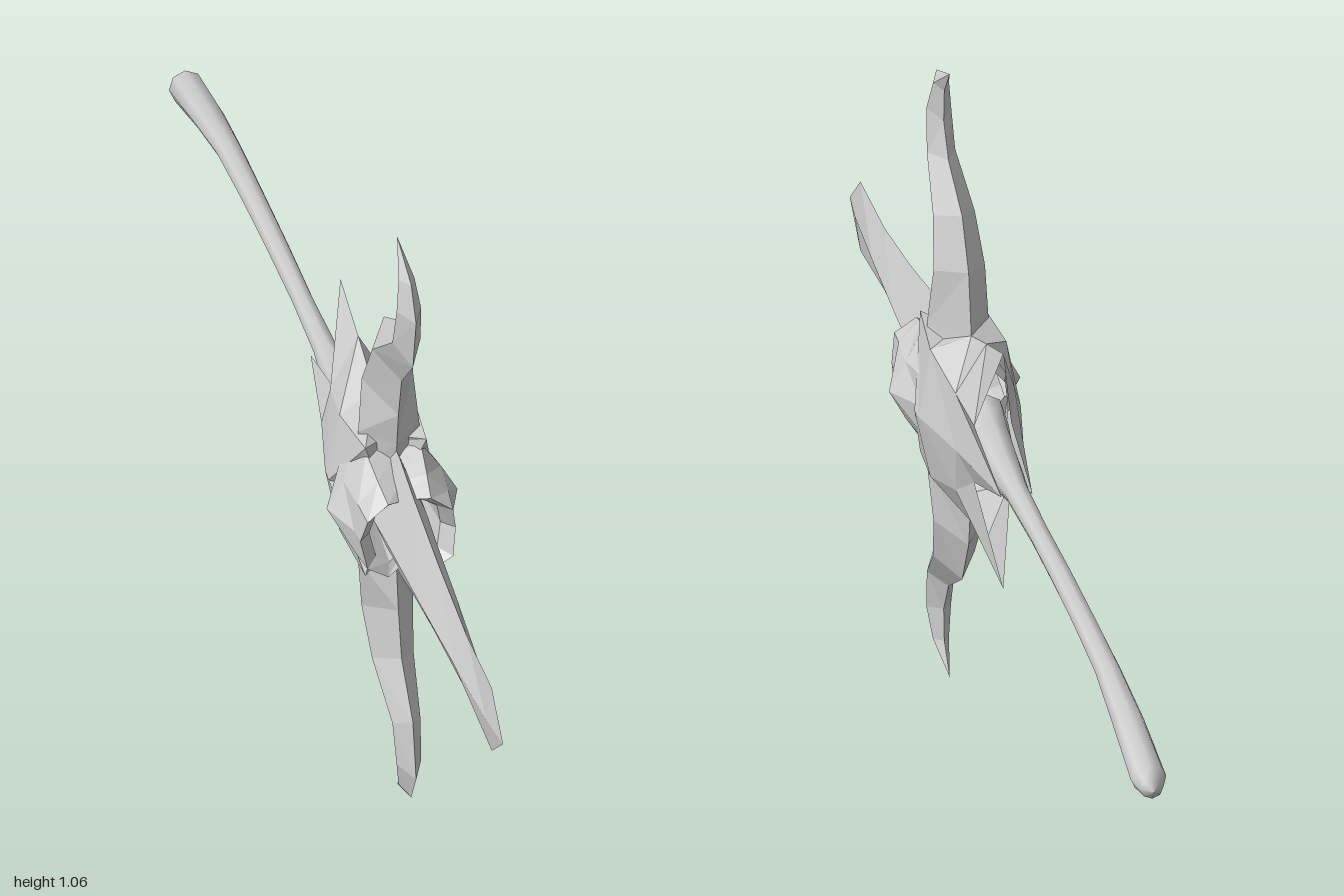
import * as THREE from 'three';

const CENTRE = 0.532; // height of the weapon's long axis
const material = new THREE.MeshStandardMaterial({ color: 0xcccccc, flatShading: true, side: THREE.DoubleSide });
const smooth = new THREE.MeshStandardMaterial({ color: 0xcccccc, side: THREE.DoubleSide });

// Skin closed rings of [x, y, z] points, y measured from the long axis
function loft(name, rings, mat = material) {
  const n = rings[0].length;
  const index = [];
  for (let r = 0; r < rings.length - 1; r++) {
    for (let i = 0; i < n; i++) {
      const a = r * n + i, b = r * n + (i + 1) % n;
      index.push(a, b, b + n, a, b + n, a + n);
    }
  }
  const geometry = new THREE.BufferGeometry();
  geometry.setAttribute('position', new THREE.Float32BufferAttribute(rings.flat(2), 3));
  geometry.setIndex(index);
  geometry.computeVertexNormals();
  const mesh = new THREE.Mesh(geometry, mat);
  mesh.name = name;
  return mesh;
}

// Complete a ring from one quadrant, listed from the side (y = 0) to the top (x = 0)
function mirrorRing(q) {
  const inner = q.slice(1, -1);
  const flip = (p, sx, sy) => [p[0] * sx, p[1] * sy, p[2]];
  return [
    ...q,
    ...inner.slice().reverse().map(p => flip(p, -1, 1)),
    flip(q[0], -1, 1),
    ...inner.map(p => flip(p, -1, -1)),
    flip(q[q.length - 1], 1, -1),
    ...inner.slice().reverse().map(p => flip(p, 1, -1)),
  ];
}

// Long front blade with a diamond section: z, half width, half height
function makeBlade() {
  const sections = [
    [0.28, 0.045, 0.115], [0.36, 0.043, 0.112], [0.44, 0.038, 0.095], [0.6, 0.03, 0.071],
    [0.77, 0.02, 0.055], [0.93, 0.009, 0.061], [1, 0, 0],
  ];
  return loft('frontBlade', sections.map(([z, w, h]) => mirrorRing([[w, 0, z], [0, h, z]])));
}

// Curved side blade: front edge z,y / ridge z,y / back edge z,y / half width
function makeHorn(name) {
  const sections = [
    [0.33, 0.05, 0.28, 0.05, 0.2, 0.05, 0.055],
    [0.34, 0.125, 0.29, 0.125, 0.2, 0.135, 0.05],
    [0.35, 0.19, 0.28, 0.22, 0.218, 0.24, 0.042],
    [0.37, 0.27, 0.315, 0.3, 0.26, 0.32, 0.034],
    [0.44, 0.345, 0.4, 0.37, 0.35, 0.375, 0.023],
    [0.46, 0.443, 0.415, 0.44, 0.382, 0.43, 0.02],
    [0.43, 0.498, 0.4, 0.49, 0.378, 0.485, 0.013],
    [0.342, 0.532, 0.342, 0.532, 0.342, 0.532, 0],
  ];
  return loft(name, sections.map(([fz, fy, rz, ry, bz, by, w]) =>
    [[0, fy, fz], [w, ry, rz], [0, by, bz], [-w, ry, rz]]));
}

// Head shell, swept back into a spike above and below
function makeShell() {
  return loft('headShell', [
    [[0.025, 0, -0.1], [0.03, 0.05, 0.06], [0, 0.207, -0.01]],
    [[0.055, 0, 0.08], [0.048, 0.085, 0.11], [0, 0.172, 0.1]],
    [[0.083, 0, 0.21], [0.062, 0.112, 0.22], [0, 0.138, 0.2]],
    [[0.084, 0, 0.235], [0.05, 0.124, 0.335], [0, 0.11, 0.29]],
    [[0.066, 0, 0.25], [0.042, 0.1, 0.33], [0, 0.09, 0.28]],
  ].map(mirrorRing));
}

// Open collar around the blade root, pinched to a point on each side
function makeCollar() {
  return loft('collar', [
    [[0.06, 0, 0.2], [0.055, 0.05, 0.2], [0.025, 0.085, 0.2], [0, 0.09, 0.2]],
    [[0.07, 0, 0.245], [0.068, 0.05, 0.25], [0.04, 0.1, 0.25], [0, 0.1, 0.25]],
    [[0.107, 0, 0.31], [0.08, 0.05, 0.31], [0.045, 0.105, 0.32], [0, 0.095, 0.32]],
    [[0.08, 0, 0.38], [0.074, 0.05, 0.38], [0.04, 0.085, 0.375], [0, 0.075, 0.37]],
    [[0.078, 0, 0.41], [0.07, 0.045, 0.425], [0.035, 0.07, 0.42], [0, 0.06, 0.4]],
    [[0.058, 0, 0.39], [0.05, 0.04, 0.4], [0.028, 0.055, 0.4], [0, 0.05, 0.38]],
    [[0.05, 0, 0.3], [0.045, 0.03, 0.3], [0.025, 0.045, 0.3], [0, 0.045, 0.3]],
  ].map(mirrorRing));
}

// Bent shaft with a flared butt: z, y, half width, half height
function makeShaft() {
  const sections = [
    [0.14, 0.008, 0.045, 0.06], [0.06, 0.006, 0.033, 0.052], [-0.02, 0.005, 0.028, 0.034],
    [-0.1, 0.005, 0.02, 0.021], [-0.25, 0.002, 0.017, 0.018], [-0.4, -0.002, 0.018, 0.018],
    [-0.55, -0.01, 0.019, 0.018], [-0.7, -0.022, 0.021, 0.018], [-0.83, -0.047, 0.026, 0.02],
    [-0.965, -0.083, 0.029, 0.026], [-0.99, -0.09, 0.018, 0.018], [-1, -0.093, 0, 0],
  ];
  const sides = 8;
  return loft('shaft', sections.map(([z, y, w, h]) => Array.from({ length: sides }, (_, i) => {
    const a = -i / sides * Math.PI * 2;
    const dy = Math.sin(a) * h;
    // lean the sections with the bend at the butt
    const lean = z < -0.8 && z > -0.99 ? 0.4 : 0;
    return [Math.cos(a) * w, y + dy, z - dy * lean];
  })), smooth);
}

export function createModel() {
  const model = new THREE.Group();
  model.name = 'polearm';
  const lowerHorn = makeHorn('lowerHorn');
  lowerHorn.scale.y = -1;
  model.add(makeBlade(), makeHorn('upperHorn'), lowerHorn, makeShell(), makeCollar(), makeShaft());
  model.children.forEach(part => { part.position.y = CENTRE; });
  return model;
}
